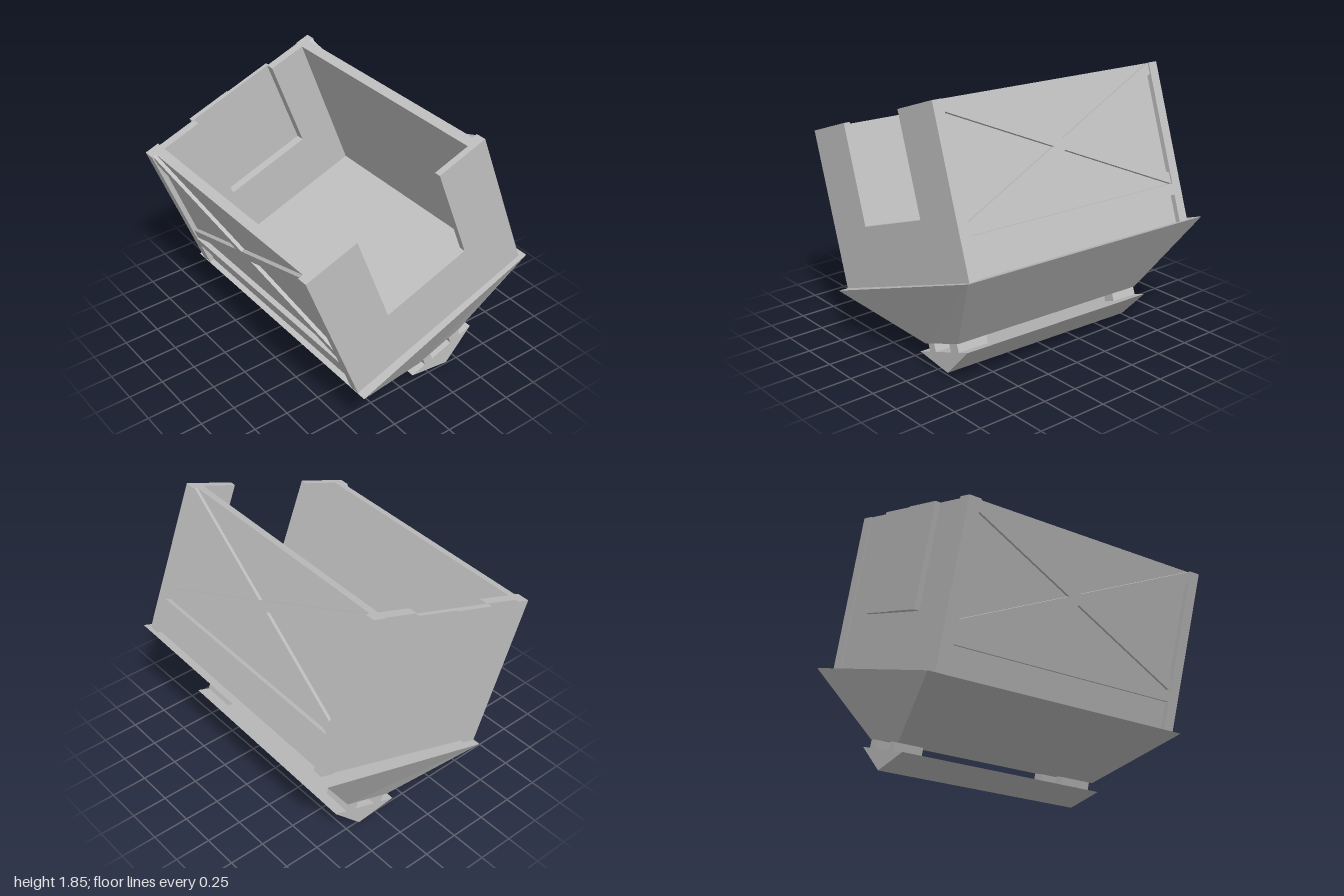
import * as THREE from 'three';

export function createModel() {
  const grey = new THREE.MeshStandardMaterial({ color: 0xc0c0c0 });
  grey.name = 'plain grey';
  const root = new THREE.Group();
  const cart = new THREE.Group();
  cart.name = 'tippedWagon';
  root.add(cart);

  const add = (name, geometry) => {
    const mesh = new THREE.Mesh(geometry, grey);
    mesh.name = name;
    cart.add(mesh);
    return mesh;
  };
  // box given by its two extremes on each axis
  const slab = (name, x0, x1, y0, y1, z0, z1) => {
    const g = new THREE.BoxGeometry(x1 - x0, y1 - y0, z1 - z0);
    g.translate((x0 + x1) / 2, (y0 + y1) / 2, (z0 + z1) / 2);
    return add(name, g);
  };
  // outline in (z, y), extruded along x from x0 to x1
  const sideProfile = (name, points, x0, x1) => {
    const shape = new THREE.Shape(points.map(([z, y]) => new THREE.Vector2(z, y)));
    const g = new THREE.ExtrudeGeometry(shape, { depth: x1 - x0, bevelEnabled: false });
    g.rotateY(-Math.PI / 2).translate(x1, 0, 0);
    return add(name, g);
  };

  const floor = 0.495, top = 1.567, back = -1.06, front = 0.345;
  const sill = 0.89, openBack = -0.69, openFront = -0.045;

  // hopper under the floor, tapering down to the neck
  const hopper = new THREE.BoxGeometry(1, 1, 1).toNonIndexed();
  const p = hopper.attributes.position;
  for (let i = 0; i < p.count; i++) {
    const sx = Math.sign(p.getX(i)), sz = Math.sign(p.getZ(i));
    if (p.getY(i) > 0) p.setXYZ(i, 0.0125 + sx * 0.983 + sz * 0.016, floor, -0.374 + sz * 0.723);
    else p.setXYZ(i, 0.004 + sx * 0.767, 0.08, -0.372 + sz * 0.184);
  }
  hopper.computeVertexNormals();
  add('hopper', hopper);

  // neck blocks leave a slot lengthwise and crosswise
  for (const [x0, x1] of [[-0.763, -0.56], [0.54, 0.771]]) {
    slab('neckBlock', x0, x1, 0.02, 0.085, -0.29, -0.225);
    slab('neckBlock', x0, x1, 0.02, 0.085, -0.545, -0.46);
  }
  // V-shaped keel
  sideProfile('keel', [[-0.642, 0.025], [-0.376, -0.109], [-0.111, 0.025]], -0.763, 0.771);

  // side walls with a doorway cut from the top
  const notched = [[back, floor], [front, floor], [front, top], [openFront, top],
    [openFront, sill], [openBack, sill], [openBack, top], [back, top]];
  sideProfile('rightWall', notched, 0.9, 0.944);
  sideProfile('leftWall', notched, -0.877, -0.815);

  // two door boards closing the doorway on one side
  slab('doorBoard', -0.905, -0.877, sill - 0.01, top, openBack - 0.01, -0.36);
  slab('doorBoard', -0.914, -0.877, sill - 0.01, top, -0.36, openFront + 0.01);

  // end walls with corner posts, a middle rail and crossed braces
  const ends = [
    { name: 'front', face: 0.31, s: 1, edge: front, left: -0.902 },
    { name: 'back', face: -1.025, s: -1, edge: back, left: -0.885 },
  ];
  for (const { name, face, s, edge, left } of ends) {
    const span = (a, b) => [Math.min(a, b), Math.max(a, b)];
    slab(name + 'Panel', -0.85, 0.92, floor, top, ...span(face, face - s * 0.068));
    slab(name + 'LeftPost', left, -0.815, floor, top, ...span(edge, face - s * 0.068));
    slab(name + 'RightPost', 0.87, 0.944, floor, top, ...span(edge, face - s * 0.068));
    slab(name + 'Rail', -0.82, 0.875, 0.68, 0.755, ...span(face, edge));
    // braces are parallelograms whose ends stay against the posts
    for (const dir of [1, -1]) {
      const lo = dir > 0 ? 0.755 : top - 0.075, hi = dir > 0 ? top - 0.075 : 0.755;
      const shape = new THREE.Shape([
        new THREE.Vector2(-0.815, lo), new THREE.Vector2(0.87, hi),
        new THREE.Vector2(0.87, hi + 0.075), new THREE.Vector2(-0.815, lo + 0.075)]);
      const g = new THREE.ExtrudeGeometry(shape, { depth: 0.025, bevelEnabled: false });
      g.translate(0, 0, s > 0 ? face : face - 0.025);
      add(name + 'Brace', g);
    }
  }

  // the wagon is tipped forward and leans a little sideways
  cart.rotation.set(THREE.MathUtils.degToRad(20), 0, THREE.MathUtils.degToRad(1.45));
  return root;
}
